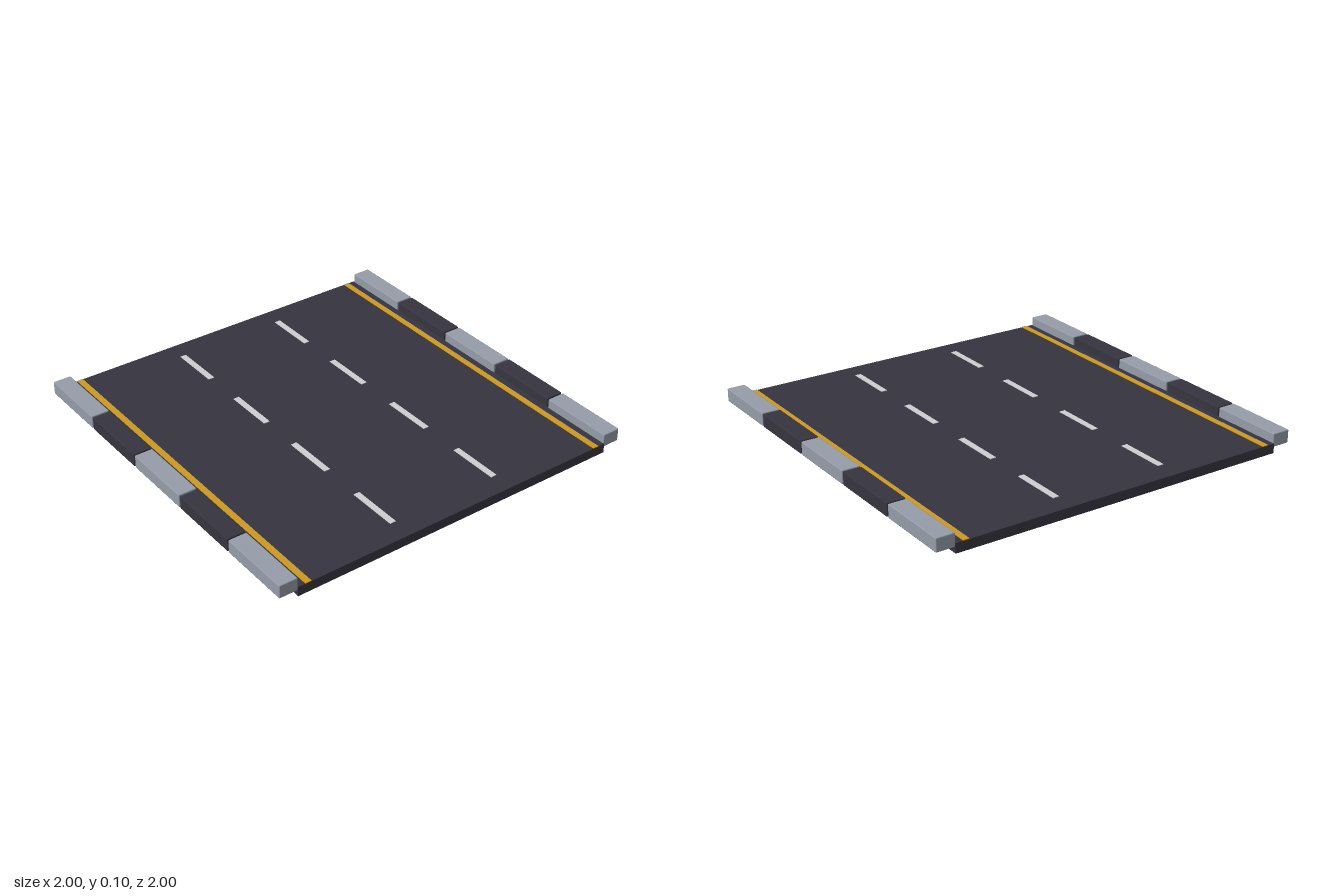
import * as THREE from 'three';
import { RoundedBoxGeometry } from 'three/addons/geometries/RoundedBoxGeometry.js';

const material = (name, color) => {
  const m = new THREE.MeshStandardMaterial({ color });
  m.name = name;
  return m;
};

export function createModel() {
  const asphalt = material('asphalt', 0x363540);
  const paleKerb = material('pale kerb', 0x969da9);
  const yellowPaint = material('yellow paint', 0xcd9a22);
  const whitePaint = material('white paint', 0xcfcfd3);

  const road = new THREE.Group();
  road.name = 'road';

  const add = (name, geometry, mat, x, y, z) => {
    const mesh = new THREE.Mesh(geometry, mat);
    mesh.name = name;
    mesh.position.set(x, y, z);
    road.add(mesh);
  };

  // Road slab
  const top = 0.05;
  add('roadSlab', new THREE.BoxGeometry(1.81, top, 2), asphalt, 0, top / 2, 0);

  const edgeLine = new THREE.BoxGeometry(0.032, 0.004, 2);
  const laneDash = new THREE.BoxGeometry(0.032, 0.004, 0.273);
  const kerbBlock = new RoundedBoxGeometry(0.097, 0.07, 0.392, 1, 0.005);

  for (const [side, s] of [['left', 1], ['right', -1]]) {
    // Continuous edge line
    add(`${side}EdgeLine`, edgeLine, yellowPaint, s * 0.85, top + 0.001, 0);

    // Lane dashes
    for (let i = 0; i < 4; i++) {
      add(`${side}LaneDash${i + 1}`, laneDash, whitePaint, s * 0.3, top + 0.001, -0.75 + i * 0.5);
    }

    // Kerb blocks in alternating colours
    for (let i = 0; i < 5; i++) {
      add(`${side}KerbBlock${i + 1}`, kerbBlock, i % 2 ? asphalt : paleKerb, s * 0.9515, 0.064, -0.8 + i * 0.4);
    }
  }
  return road;
}
